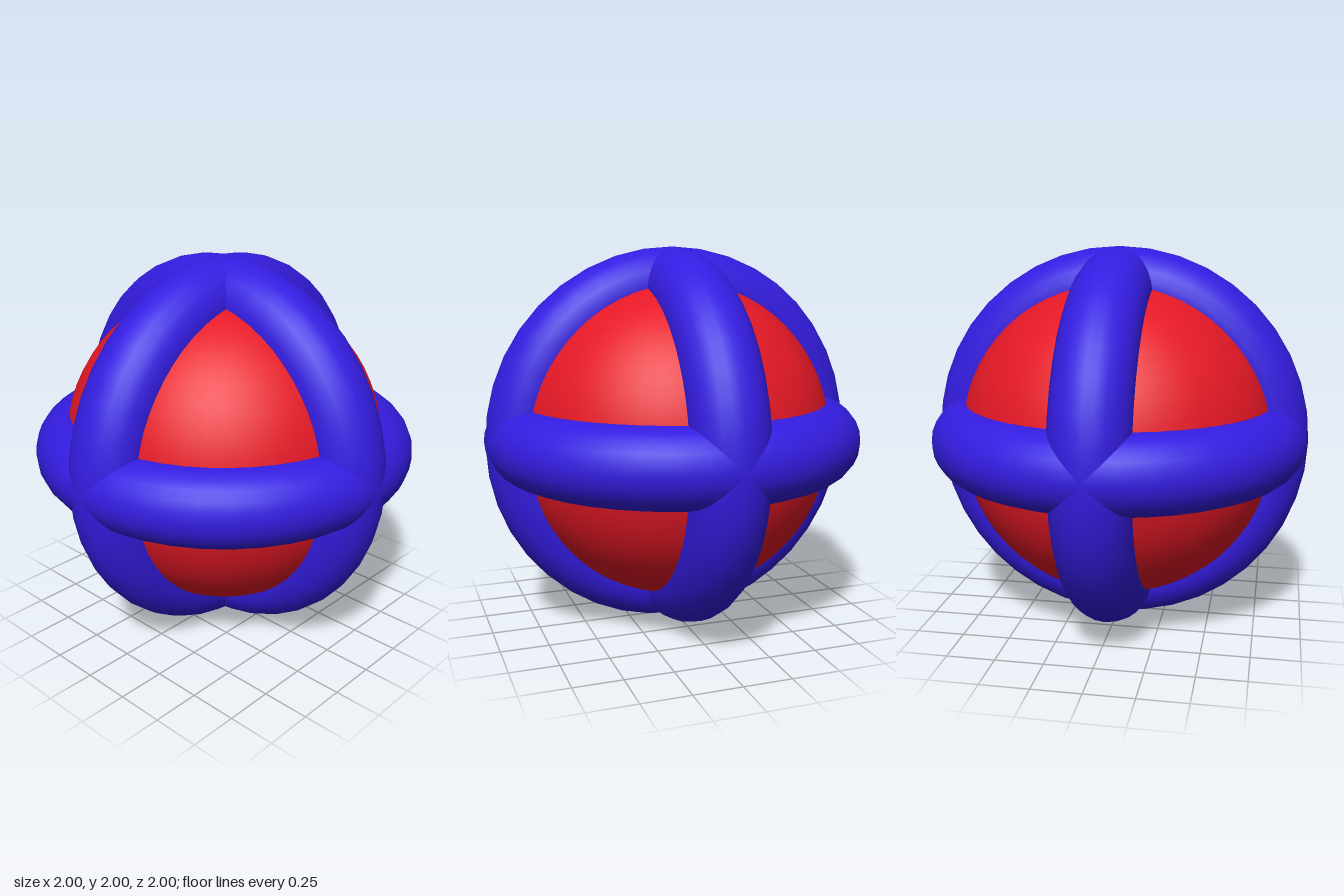
import * as THREE from 'three';

export function createModel() {
  const model = new THREE.Group();
  const red = new THREE.MeshStandardMaterial({ color: 0xe51826 });
  const blue = new THREE.MeshStandardMaterial({ color: 0x341ce0 });

  const add = (name, geometry, material) => {
    const mesh = new THREE.Mesh(geometry, material);
    mesh.name = name;
    mesh.position.y = 1;
    model.add(mesh);
    return mesh;
  };

  // Inner ball
  add('ball', new THREE.SphereGeometry(0.84, 48, 32), red);

  // Three equal rings, one in each main plane
  const ring = new THREE.TorusGeometry(0.8, 0.2, 24, 40);
  add('frontRing', ring, blue);
  add('sideRing', ring, blue).rotation.y = Math.PI / 2;
  add('levelRing', ring, blue).rotation.x = Math.PI / 2;

  return model;
}
